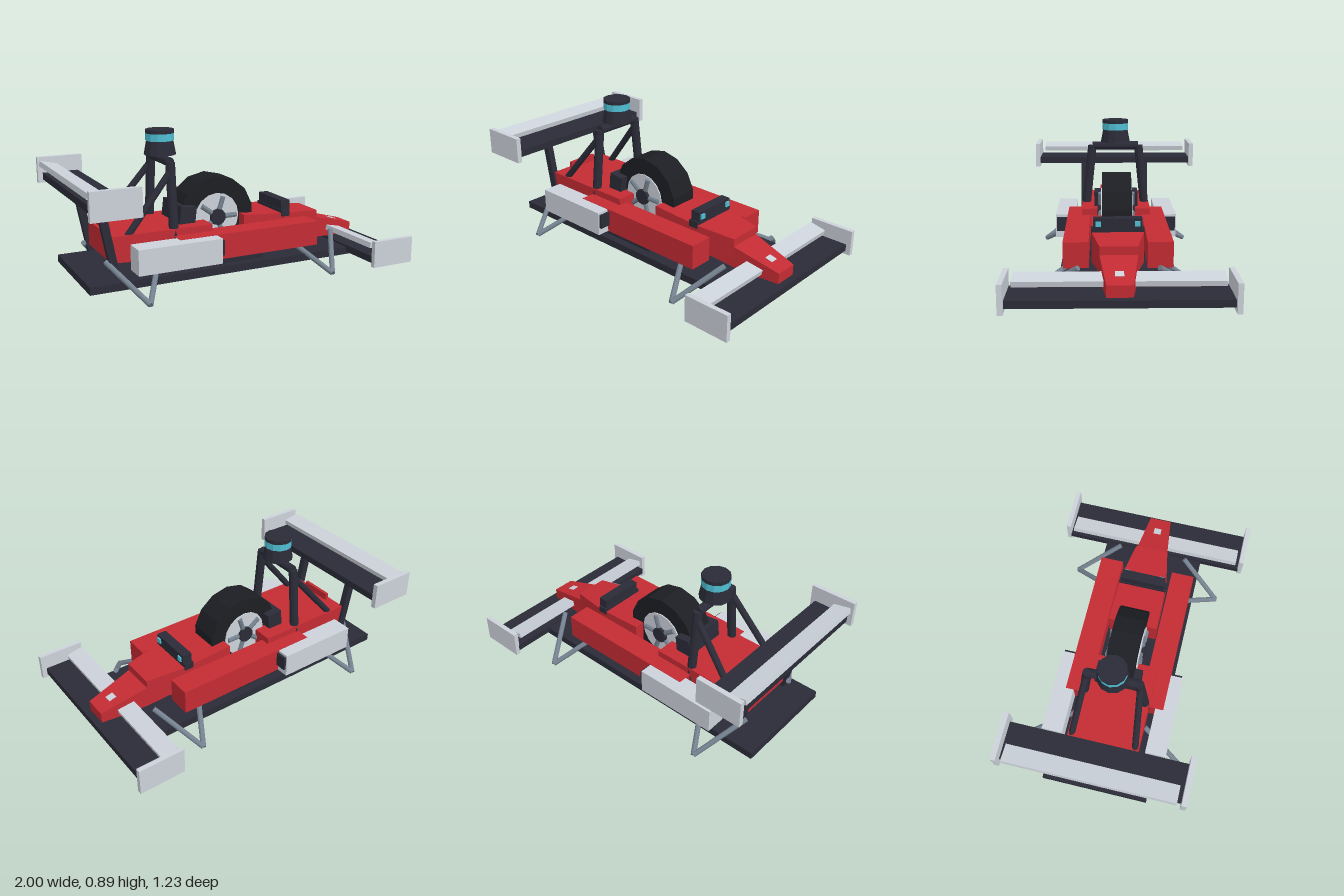
import * as THREE from 'three';

const mat = (color) => new THREE.MeshStandardMaterial({ color, flatShading: true });

export function createModel() {
  const car = new THREE.Group();
  car.name = 'raceCar';
  const red = mat(0xc42b33), dark = mat(0x2a2b37), light = mat(0xccd2da);
  const tyreMat = mat(0x1d1e23), steel = mat(0x74808e), cyan = mat(0x4fbfd3);

  const add = (name, geometry, material) => {
    const mesh = new THREE.Mesh(geometry, material);
    mesh.name = name;
    car.add(mesh);
    return mesh;
  };
  // Box given by its extents
  const box = (name, m, x0, x1, y0, y1, z0, z1) => {
    const mesh = add(name, new THREE.BoxGeometry(x1 - x0, y1 - y0, z1 - z0), m);
    mesh.position.set((x0 + x1) / 2, (y0 + y1) / 2, (z0 + z1) / 2);
    return mesh;
  };
  // Box tapered between two sections, each [x, half width, bottom, top]
  const taper = (name, m, a, b) => {
    const geometry = new THREE.BoxGeometry(1, 1, 1);
    const p = geometry.attributes.position;
    for (let i = 0; i < p.count; i++) {
      const [x, half, low, high] = p.getX(i) < 0 ? a : b;
      p.setXYZ(i, x, p.getY(i) < 0 ? low : high, Math.sign(p.getZ(i)) * half);
    }
    geometry.computeVertexNormals();
    return add(name, geometry, m);
  };
  // Rod between two points
  const rod = (name, m, a, b, radius, sides = 10) => {
    const from = new THREE.Vector3(...a), to = new THREE.Vector3(...b);
    const dir = to.clone().sub(from);
    const mesh = add(name, new THREE.CylinderGeometry(radius, radius, dir.length(), sides), m);
    mesh.position.copy(from).add(to).multiplyScalar(0.5);
    mesh.quaternion.setFromUnitVectors(new THREE.Vector3(0, 1, 0), dir.normalize());
    return mesh;
  };
  // Disc or drum with its axis along z
  const drum = (name, m, radius, depth, sides) => {
    const mesh = add(name, new THREE.CylinderGeometry(radius, radius, depth, sides), m);
    mesh.rotation.x = Math.PI / 2;
    mesh.position.set(-0.075, 0.348, 0);
    return mesh;
  };

  // Floor and cockpit tray
  box('floor', dark, -0.95, 0.76, 0.065, 0.11, -0.33, 0.33);
  box('tray', dark, -0.34, 0.14, 0.11, 0.155, -0.28, 0.28);

  // Body
  taper('rearBody', red, [-0.79, 0.22, 0.19, 0.34], [-0.165, 0.22, 0.15, 0.34]);
  box('tailBar', red, -0.77, -0.75, 0.34, 0.385, -0.1, 0.1);
  taper('cowlRear', red, [0.08, 0.155, 0.15, 0.352], [0.4, 0.15, 0.15, 0.33]);
  taper('cowlFront', red, [0.4, 0.15, 0.15, 0.33], [0.64, 0.105, 0.17, 0.31]);
  taper('noseRoot', red, [0.5, 0.12, 0.15, 0.29], [0.64, 0.105, 0.13, 0.262]);
  taper('nose', red, [0.64, 0.105, 0.13, 0.262], [0.93, 0.07, 0.115, 0.188]);
  const badge = box('nosePlate', light, 0.8, 0.848, 0.207, 0.217, -0.024, 0.024);
  badge.rotation.z = -0.25;

  // Cockpit bar with lamps, and headrest
  box('cockpitBar', dark, 0.35, 0.41, 0.35, 0.41, -0.14, 0.14);
  box('cockpitBarMount', dark, 0.345, 0.405, 0.31, 0.352, -0.152, 0.152);
  const headrest = box('headrest', dark, -0.335, -0.235, 0.32, 0.44, -0.14, 0.14);
  headrest.rotation.z = -0.12;

  // Central wheel
  drum('tyre', tyreMat, 0.247, 0.18, 14);
  drum('rim', light, 0.145, 0.194, 16);
  drum('hub', dark, 0.05, 0.235, 10);
  for (const s of [-1, 1]) for (let i = 0; i < 5; i++) {
    const a = i * Math.PI * 0.4, c = Math.cos(a), k = Math.sin(a);
    rod('spoke', steel, [-0.075 + c * 0.03, 0.348 + k * 0.03, s * 0.098],
      [-0.075 + c * 0.128, 0.348 + k * 0.128, s * 0.098], 0.016, 8);
  }

  // Roll hoop and sensor turret
  rod('hoopBar', dark, [-0.4, 0.718, -0.15], [-0.4, 0.718, 0.15], 0.027);
  const turret = (name, m, r0, r1, y0, y1) => {
    add(name, new THREE.CylinderGeometry(r1, r0, y1 - y0, 12), m).position.set(-0.4, (y0 + y1) / 2, 0);
  };
  turret('turretBase', dark, 0.096, 0.08, 0.742, 0.825);
  turret('turretBand', cyan, 0.085, 0.085, 0.825, 0.868);
  turret('turretCap', dark, 0.085, 0.085, 0.868, 0.89);

  // Wings: main plane, tilted flap and end plates
  const wing = (label, y, x0, x1, half, flapX, flapY, flapHalf, tilt) => {
    box(label + 'WingPlane', dark, x0, x1, y, y + 0.042, -half, half);
    const flap = box(label + 'WingFlap', light, flapX - 0.053, flapX + 0.053,
      flapY - 0.016, flapY + 0.016, -flapHalf, flapHalf);
    flap.rotation.z = tilt;
  };
  wing('front', 0.08, 0.72, 0.97, 0.59, 0.775, 0.172, 0.565, -0.22);
  wing('rear', 0.545, -0.97, -0.75, 0.53, -0.942, 0.64, 0.5, -0.2);

  // Mirrored parts
  for (const s of [-1, 1]) {
    const sideBox = (name, m, x0, x1, y0, y1, z0, z1) =>
      box(name, m, x0, x1, y0, y1, Math.min(s * z0, s * z1), Math.max(s * z0, s * z1));
    sideBox('sidepod', red, -0.41, 0.51, 0.15, 0.3, 0.165, 0.31);
    sideBox('sidePanel', light, -0.69, -0.18, 0.15, 0.298, 0.26, 0.388);
    sideBox('sidePanelInlet', dark, -0.185, -0.165, 0.195, 0.283, 0.275, 0.38);
    sideBox('cockpitLamp', cyan, 0.405, 0.42, 0.365, 0.395, 0.097, 0.128);
    sideBox('frontEndPlate', light, 0.72, 1, 0.056, 0.217, 0.586, 0.615);
    sideBox('rearEndPlate', light, -1, -0.72, 0.525, 0.685, 0.525, 0.555);

    rod('hoopLeg', dark, [-0.4, 0.25, s * 0.2], [-0.4, 0.718, s * 0.152], 0.028);
    rod('hoopBrace', dark, [-0.69, 0.32, s * 0.198], [-0.4, 0.67, s * 0.16], 0.02);

    // Leaning rear wing pylon
    const pylon = sideBox('rearWingPylon', dark, -0.835, -0.79, 0.145, 0.56, 0.197, 0.237);
    pylon.rotation.z = 0.19;

    // V-shaped suspension arms
    for (const [xa, ya, xm, xb, yb] of [[-0.82, 0.2, -0.665, -0.51, 0.17], [0.36, 0.18, 0.51, 0.67, 0.2]]) {
      const tip = [xm, 0.018, s * 0.485];
      rod('suspensionArm', steel, [xa, ya, s * 0.21], tip, 0.016);
      rod('suspensionArm', steel, [xb, yb, s * 0.22], tip, 0.016);
    }
  }
  return car;
}
